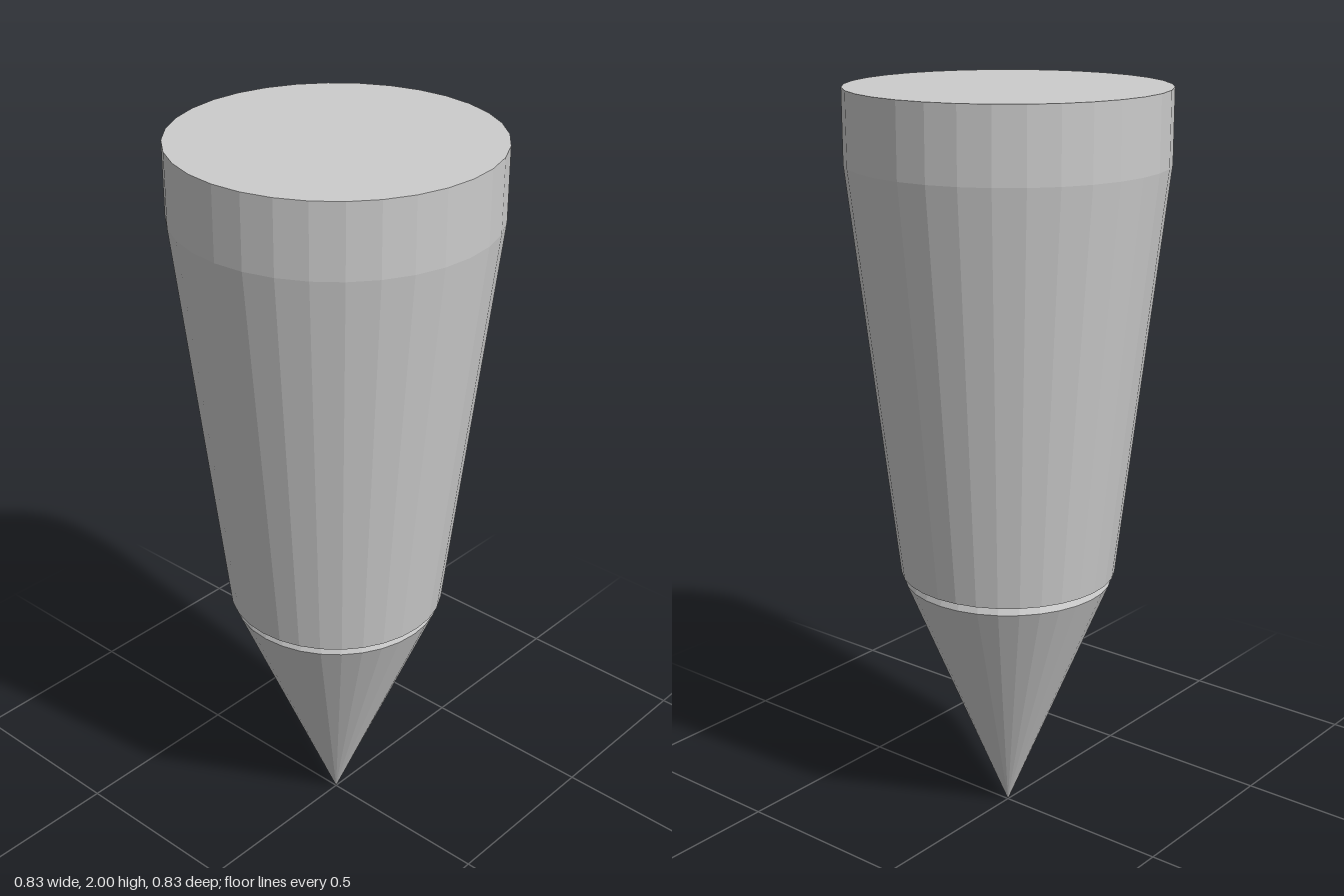
import * as THREE from 'three';

const SIDES = 32;

export function createModel() {
  const group = new THREE.Group();
  const material = new THREE.MeshStandardMaterial({ color: 0xcccccc, flatShading: true });

  // Each part is a faceted lathe of [radius, height] points, listed bottom to top
  const addPart = (name, profile) => {
    const points = profile.map(([r, y]) => new THREE.Vector2(r, y));
    const mesh = new THREE.Mesh(new THREE.LatheGeometry(points, SIDES), material);
    mesh.name = name;
    group.add(mesh);
  };

  // Pointed tip with a small chamfer where it meets the shaft
  addPart('tip', [[0, 0], [0.281, 0.687], [0.272, 0.71]]);

  // Tapered shaft with a straight collar and closed ends
  addPart('shaft', [[0, 0.71], [0.29, 0.71], [0.415, 1.81], [0.415, 2], [0, 2]]);

  return group;
}
